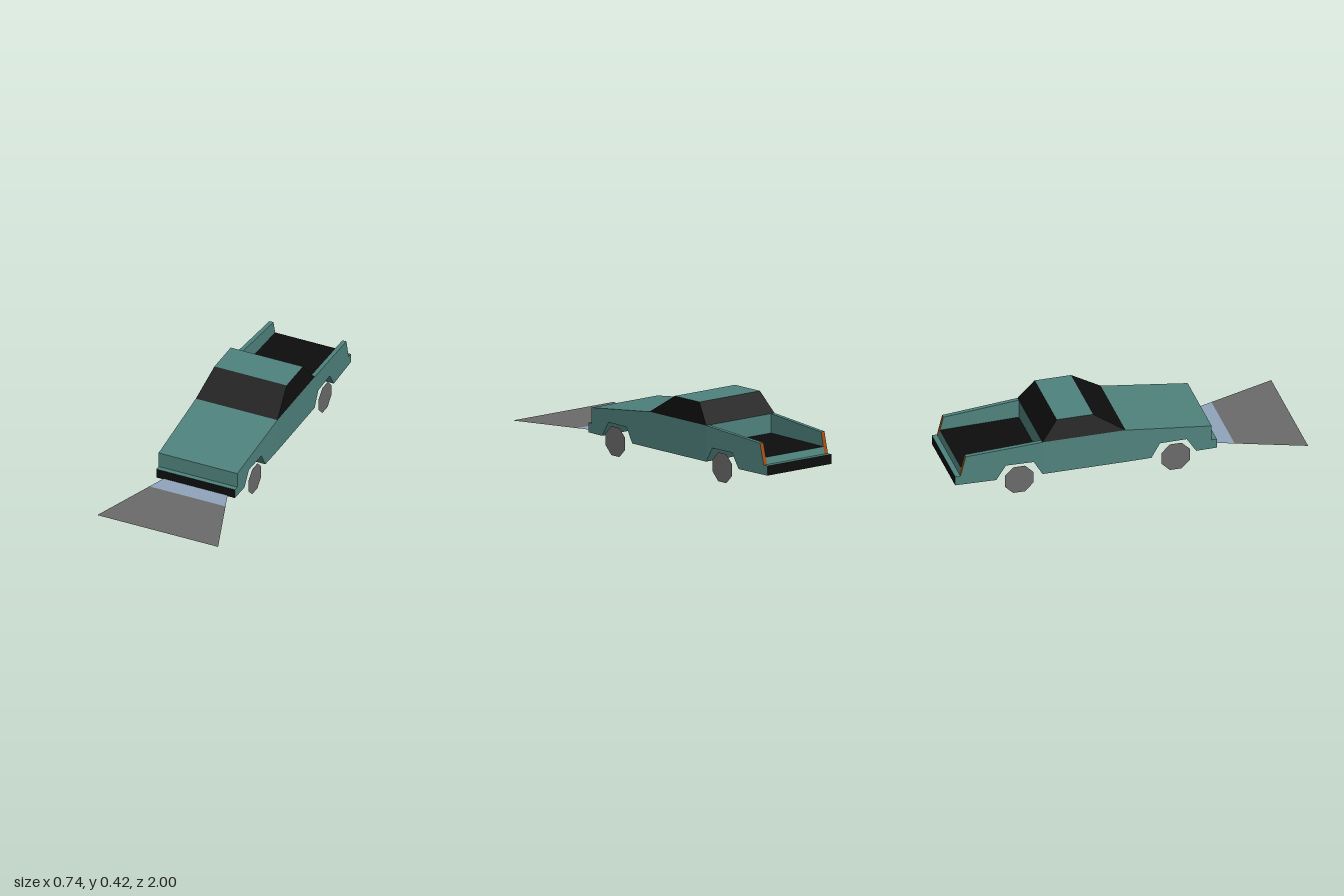
import * as THREE from 'three';

const paint = (name, color) => {
  const m = new THREE.MeshStandardMaterial({ color, side: THREE.DoubleSide });
  m.name = name;
  return m;
};

// Half width of the bodywork: widest at the cab, tapering to nose, tail and roof
function outer(z, y) {
  let w = 0.251;
  if (z > -0.02) w -= (z + 0.02) * 0.018;
  if (z < -0.5) w -= (-0.5 - z) * 0.032;
  return w - Math.max(0, y - 0.3) * 0.25;
}
const inner = (z, y) => outer(z, y) - 0.025;
const mirrored = (f) => (z, y) => -f(z, y);

// Skin stretched across the car along a [z, y] path, from x = lo to x = hi
function strip(path, hi = outer, lo = mirrored(hi)) {
  const pos = [];
  for (let i = 0; i < path.length - 1; i++) {
    const [a, b] = [path[i], path[i + 1]];
    const p = [[lo, a], [hi, a], [hi, b], [lo, b]].map(([f, [z, y]]) => [f(z, y), y, z]);
    for (const k of [0, 1, 2, 0, 2, 3]) pos.push(...p[k]);
  }
  const g = new THREE.BufferGeometry();
  g.setAttribute('position', new THREE.Float32BufferAttribute(pos, 3));
  g.computeVertexNormals();
  return g;
}

// Side panel with a [z, y] outline, lying on the given width on one side
function panel(outline, side, width = outer, facing = side) {
  const shape = new THREE.Shape(outline.map(([z, y]) => new THREE.Vector2(z, y)));
  const g = new THREE.ShapeGeometry(shape).toNonIndexed();
  const p = g.attributes.position;
  const pts = [];
  for (let i = 0; i < p.count; i++) {
    const z = p.getX(i), y = p.getY(i);
    pts.push([side * width(z, y), y, z]);
  }
  for (let i = 0; i < p.count; i += 3) {
    const order = facing > 0 ? [0, 2, 1] : [0, 1, 2];
    order.forEach((k, j) => p.setXYZ(i + j, ...pts[i + k]));
  }
  g.computeVertexNormals();
  return g;
}

export function createModel() {
  const teal = paint('teal paint', 0x4f827d);
  const black = paint('black', 0x0d0d0d);
  const grey = paint('grey', 0x6b6b6b);
  const glow = paint('pale blue', 0x90a4bc);
  const orange = paint('orange', 0x9c4c0c);

  const model = new THREE.Group();
  model.name = 'pickupTruck';
  const truck = new THREE.Group();
  truck.name = 'truck';
  truck.position.x = -0.004;
  model.add(truck);
  const add = (name, geometry, material) => {
    const mesh = new THREE.Mesh(geometry, material);
    mesh.name = name;
    truck.add(mesh);
    return mesh;
  };

  // Wheel arch outlines, rear to front
  const rearArch = [[-0.765, 0.095], [-0.71, 0.18], [-0.55, 0.18], [-0.5, 0.095]];
  const frontArch = [[0.13, 0.095], [0.18, 0.18], [0.335, 0.18], [0.39, 0.095]];
  const nose = [[0.51, 0.15], [0.48, 0.15], [0.48, 0.24], [-0.02, 0.3]];

  // Nose, bumpers and underside
  add('frontBumperFace', strip([[0.51, 0.095], [0.51, 0.15]]), black);
  add('noseAndHood', strip(nose), teal);
  add('rearBumperTop', strip([[-0.97, 0.15], [-1, 0.15]]), teal);
  add('rearBumperFace', strip([[-1, 0.15], [-1, 0.095]]), black);
  add('underside', strip([[-1, 0.095], ...rearArch, [-0.02, 0.095], ...frontArch, [0.51, 0.095]]), teal);

  // Cab
  add('windshield', strip([[-0.02, 0.3], [-0.2, 0.415]]), black);
  add('roof', strip([[-0.2, 0.415], [-0.41, 0.415]]), teal);
  add('rearWindow', strip([[-0.41, 0.415], [-0.5, 0.3]]), black);

  // Open cargo bed
  add('bedFrontWall', strip([[-0.5, 0.3], [-0.5, 0.19]], inner), teal);
  add('bedFloor', strip([[-0.5, 0.19], [-0.96, 0.19]], inner), black);
  add('bedSill', strip([[-0.96, 0.19], [-0.97, 0.15]], inner), teal);

  for (const s of [1, -1]) {
    const label = s > 0 ? 'left' : 'right';

    // Body sides
    add(label + 'FrontFender', panel([[-0.02, 0.095], ...frontArch, [0.51, 0.095], ...nose], s), teal);
    add(label + 'Door', panel([[-0.5, 0.095], [-0.02, 0.095], [-0.02, 0.3], [-0.5, 0.3]], s), teal);
    add(label + 'RearFender', panel([[-1, 0.095], ...rearArch, [-0.5, 0.3], [-0.94, 0.27], [-0.97, 0.15], [-1, 0.15]], s), teal);
    add(label + 'SideWindow', panel([[-0.5, 0.3], [-0.02, 0.3], [-0.2, 0.415], [-0.41, 0.415]], s), black);

    // Bed rail with tail light on its end
    add(label + 'BedInnerWall', panel([[-0.96, 0.19], [-0.5, 0.19], [-0.5, 0.3], [-0.94, 0.27]], s, inner, -s), teal);
    const [hi, lo] = s > 0 ? [outer, inner] : [mirrored(inner), mirrored(outer)];
    add(label + 'BedRail', strip([[-0.5, 0.3], [-0.94, 0.27]], hi, lo), teal);
    add(label + 'TailLight', strip([[-0.94, 0.27], [-0.97, 0.15]], hi, lo), orange);

    // Flat octagonal wheels
    for (const [end, z] of [['Front', 0.27], ['Rear', -0.635]]) {
      const wheel = add(label + end + 'Wheel', new THREE.CircleGeometry(0.0893, 8, Math.PI / 8), grey);
      wheel.rotation.y = s * Math.PI / 2;
      wheel.position.set(s * 0.25, 0.0825, z);
    }
  }

  // Headlight beam lying flat ahead of the bumper
  const beam = (z) => 0.195 + (z - 0.505) * 0.357;
  add('beamNear', strip([[0.615, 0.1], [0.505, 0.1]], beam), glow);
  add('beamFar', strip([[1, 0.1], [0.615, 0.1]], beam), grey);

  return model;
}
